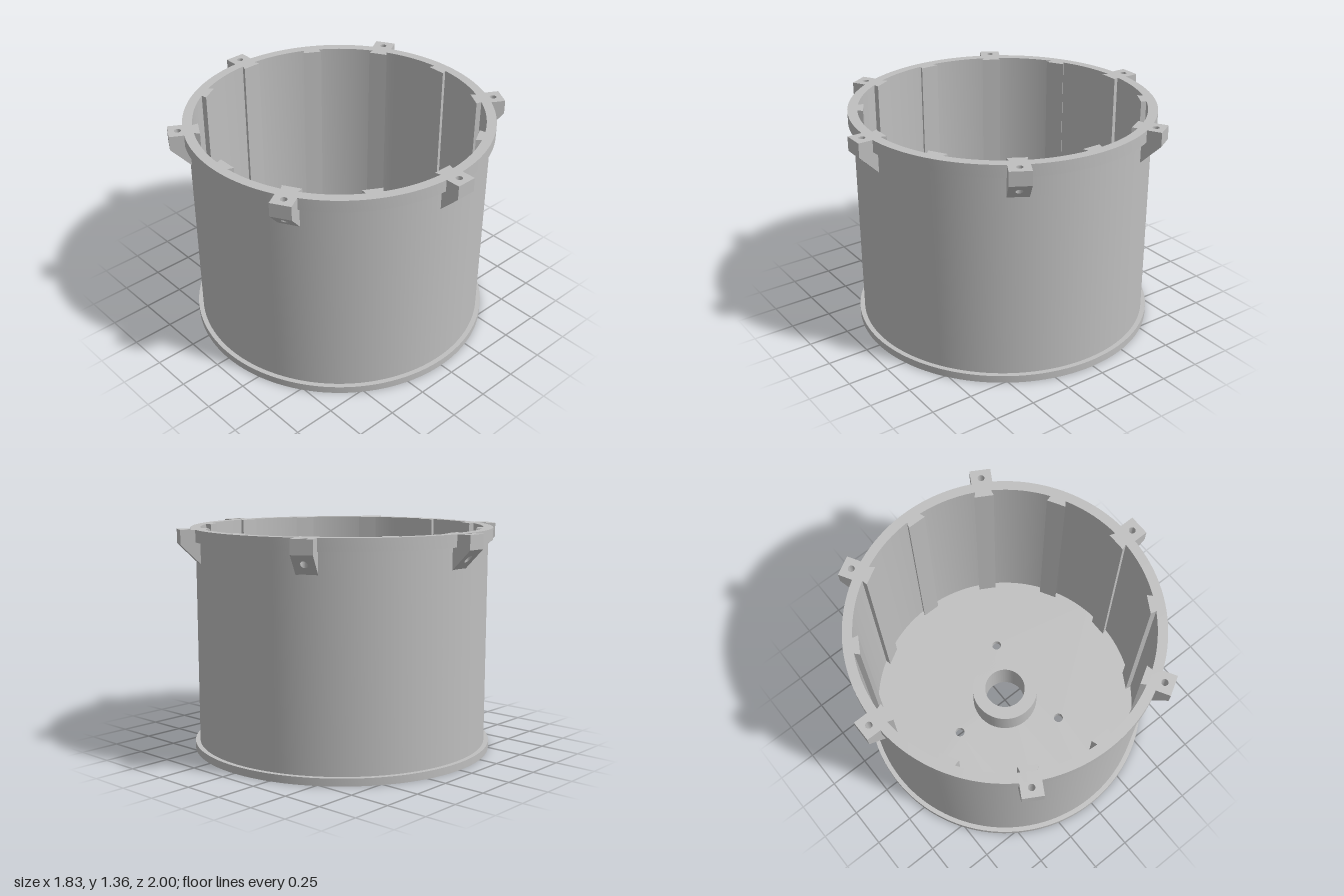
import * as THREE from 'three';
import { toCreasedNormals } from 'three/addons/utils/BufferGeometryUtils.js';

const HEIGHT = 1.36, FLOOR = 0.045;
const INNER = 0.857, WALL = 0.886, RIM = 0.915;

const grey = new THREE.MeshStandardMaterial({ color: 0xbfbfbf });
grey.name = 'grey';

function part(name, geometry) {
  const mesh = new THREE.Mesh(toCreasedNormals(geometry, 0.5), grey);
  mesh.name = name;
  return mesh;
}

// Revolves a closed outline of [radius, height] pairs, outer side going up
function ring(name, outline) {
  const points = [...outline, outline[0]].map(([r, y]) => new THREE.Vector2(r, y));
  return part(name, new THREE.LatheGeometry(points, 128));
}

// Extrudes a plan shape upwards from y0 to y1 (shape +y becomes -z)
function upright(shape, y0, y1, curveSegments = 12) {
  const g = new THREE.ExtrudeGeometry(shape, { depth: y1 - y0, bevelEnabled: false, curveSegments });
  return g.rotateX(-Math.PI / 2).translate(0, y0, 0);
}

function polygon(points) {
  return new THREE.Shape(points.map(([x, y]) => new THREE.Vector2(x, y)));
}

function cutHole(shape, x, y, r) {
  shape.holes.push(new THREE.Path().absarc(x, y, r, 0, Math.PI * 2, true));
}

export function createModel() {
  const model = new THREE.Group();
  model.name = 'drumHousing';

  // Base disc with a shaft hole and three screw holes
  const disc = new THREE.Shape().absarc(0, 0, RIM, 0, Math.PI * 2, false);
  cutHole(disc, 0, 0, 0.13);
  for (let i = 0; i < 3; i++) {
    const a = Math.PI / 2 + i * Math.PI * 2 / 3;
    cutHole(disc, 0.386 * Math.cos(a), 0.386 * Math.sin(a), 0.03);
  }
  model.add(part('base', upright(disc, 0, FLOOR, 64)));

  // Hub around the shaft hole
  model.add(ring('hub', [[0.13, FLOOR], [0.213, FLOOR], [0.213, 0.25], [0.13, 0.25]]));

  // Cylindrical wall with a wider rim at the top
  model.add(ring('wall', [
    [INNER, FLOOR], [WALL, FLOOR], [WALL, 1.287], [RIM, 1.287], [RIM, HEIGHT], [INNER, HEIGHT],
  ]));

  // Twelve dovetail rails on the inside of the wall
  const railShape = polygon([[-0.058, 0.822], [0.058, 0.822], [0.045, 0.862], [-0.045, 0.862]]);
  for (let i = 0; i < 12; i++) {
    const rail = part('rail', upright(railShape, FLOOR, HEIGHT));
    rail.rotation.y = i * Math.PI / 6;
    model.add(rail);
  }

  // Six screw lugs with an underside sloping down to the wall
  const lugShape = polygon([[-0.0625, 0.87], [0.0625, 0.87], [0.0625, 1], [-0.0625, 1]]);
  cutHole(lugShape, 0, 0.945, 0.02);
  for (let i = 0; i < 6; i++) {
    const g = upright(lugShape, 1.2, HEIGHT);
    const p = g.attributes.position;
    for (let k = 0; k < p.count; k++) {
      if (p.getY(k) < 1.25) p.setY(k, 1.275 - (1 + p.getZ(k)));
    }
    g.computeVertexNormals();
    const lug = part('lug', g);
    lug.rotation.y = i * Math.PI / 3;
    model.add(lug);
  }

  return model;
}
